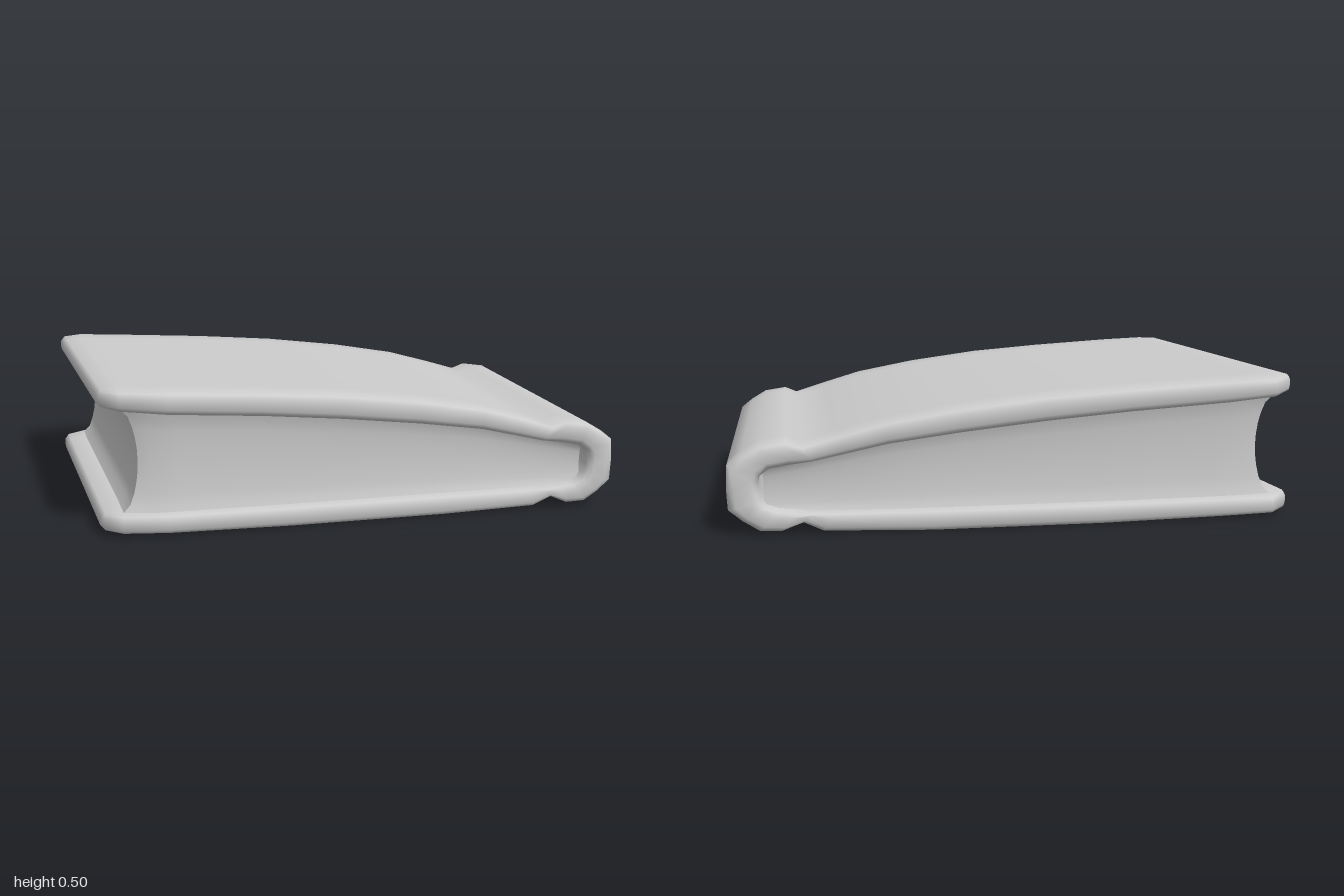
import * as THREE from 'three';
import { toCreasedNormals } from 'three/addons/utils/BufferGeometryUtils.js';

// Piecewise-linear lookup in a list of [x, value] points
function lookup(table, x) {
  if (x <= table[0][0]) return table[0][1];
  for (let i = 1; i < table.length; i++) {
    const [x0, v0] = table[i - 1], [x1, v1] = table[i];
    if (x <= x1) return v0 + (v1 - v0) * (x - x0) / (x1 - x0);
  }
  return table[table.length - 1][1];
}

// Outline of the book seen from above, with rounded fore-edge corners
const frontZ = [[-1, 0.6], [-0.97, 0.65], [-0.88, 0.68], [0, 0.63], [0.62, 0.588], [0.99, 0.58]];
const backZ = [[-1, -0.59], [-0.97, -0.645], [-0.92, -0.68], [-0.4, -0.69], [0.4, -0.685], [0.7, -0.665], [0.99, -0.66]];

// Slant of the fore edge, fading out towards the spine
const slant = (x, z) => x + 0.14 * THREE.MathUtils.clamp((z + 0.6) / 1.2, 0, 1) * (0.99 - x) / 1.99;

// Cover section: [outerX, outerY, innerX, innerY], from top fore edge round the spine to bottom fore edge
const coverSection = [
  [-1, 0.49, -1, 0.455], [-0.985, 0.503, -0.985, 0.442], [-0.92, 0.502, -0.92, 0.432], [-0.75, 0.495, -0.75, 0.416],
  [-0.4, 0.478, -0.4, 0.395], [-0.1, 0.458, -0.1, 0.37], [0.2, 0.424, 0.2, 0.338],
  [0.45, 0.383, 0.45, 0.305], [0.62, 0.338, 0.6, 0.272], [0.74, 0.303, 0.7, 0.25],
  [0.79, 0.323, 0.78, 0.24], [0.88, 0.311, 0.85, 0.228], [0.94, 0.278, 0.88, 0.205],
  [0.988, 0.243, 0.887, 0.18], [0.992, 0.165, 0.885, 0.155], [0.988, 0.09, 0.875, 0.125],
  [0.94, 0.05, 0.86, 0.1], [0.885, 0.015, 0.82, 0.087], [0.81, 0.012, 0.76, 0.08],
  [0.74, 0.04, 0.71, 0.076], [0.67, 0.008, 0.64, 0.075], [0.3, 0, 0.3, 0.075],
  [-0.3, 0, -0.3, 0.075], [-0.75, 0.006, -0.75, 0.076], [-0.92, 0.01, -0.92, 0.078],
  [-0.985, 0.014, -0.985, 0.078], [-1, 0.027, -1, 0.065],
];

function makeGeometry(positions, index, crease) {
  const g = new THREE.BufferGeometry();
  g.setAttribute('position', new THREE.Float32BufferAttribute(positions, 3));
  g.setIndex(index);
  return toCreasedNormals(g, crease);
}

function coverGeometry() {
  const pos = [], idx = [], n = coverSection.length, ring = 2 * n;
  // Rows from back to front; thickness shrinks at the ends for rolled edges
  const rows = [[0, 0.5], [0.006, 0.8], [0.02, 1]];
  for (let k = 1; k < 10; k++) rows.push([k / 10, 1]);
  rows.push([0.98, 1], [0.994, 0.8], [1, 0.5]);
  for (const [t, k] of rows) {
    const put = (x, y, mx, my) => {
      const z = THREE.MathUtils.lerp(lookup(backZ, x), lookup(frontZ, x), t);
      const px = mx + (x - mx) * k, py = my + (y - my) * k;
      pos.push(slant(px, z), py, z);
    };
    const mid = (s) => [(s[0] + s[2]) / 2, (s[1] + s[3]) / 2];
    for (const s of coverSection) put(s[0], s[1], ...mid(s));
    for (let i = n - 1; i >= 0; i--) put(coverSection[i][2], coverSection[i][3], ...mid(coverSection[i]));
  }
  for (let j = 0; j < rows.length - 1; j++) {
    for (let i = 0; i < ring; i++) {
      const a = j * ring + i, b = j * ring + (i + 1) % ring;
      idx.push(a, a + ring, b, b, a + ring, b + ring);
    }
  }
  // Close the head and tail edges
  const last = (rows.length - 1) * ring;
  for (let i = 0; i < n - 1; i++) {
    const o = i, o2 = i + 1, q = ring - 1 - i, q2 = ring - 2 - i;
    idx.push(last + o, last + q, last + o2, last + o2, last + q, last + q2);
    idx.push(o, o2, q, o2, q2, q);
  }
  return makeGeometry(pos, idx, 0.95);
}

function pagesGeometry() {
  const pos = [], idx = [], outline = [];
  const top = [[-1, 0.455], [-0.75, 0.425], [-0.4, 0.405], [-0.1, 0.38], [0.2, 0.348], [0.45, 0.315], [0.7, 0.26], [0.87, 0.225]];
  const steps = 16, x0 = -0.93, x1 = 0.87;
  const along = (i) => x0 + (x1 - x0) * i / steps;
  // Outline: front side, spine side, back side, fore edge
  for (let i = 0; i <= steps; i++) outline.push([along(i), lookup(frontZ, along(i)) - 0.035, 1]);
  for (let i = steps; i >= 0; i--) outline.push([along(i), lookup(backZ, along(i)) + 0.035, -1]);
  for (let i = 1; i < 8; i++) outline.push([x0, -0.635 + 1.27 * i / 8, 0]);
  const n = outline.length, levels = 10;
  for (let j = 0; j <= levels; j++) {
    const v = j / levels, dish = Math.sqrt(Math.sin(Math.PI * Math.min(v, 0.99999)));
    for (const [x, z, side] of outline) {
      const hollow = x === x0 ? 0.065 * dish : 0;
      const pz = z - side * 0.02 * dish;
      pos.push(slant(x, z) + hollow, THREE.MathUtils.lerp(0.065, lookup(top, x), v), pz);
    }
  }
  for (let j = 0; j < levels; j++) {
    for (let i = 0; i < n; i++) {
      const a = j * n + i, b = j * n + (i + 1) % n;
      idx.push(a, b, a + n, b, b + n, a + n);
    }
  }
  return makeGeometry(pos, idx, 0.8);
}

export function createModel() {
  const grey = new THREE.MeshStandardMaterial({ color: 0xcccccc });
  grey.name = 'light grey';
  const book = new THREE.Group();
  book.name = 'book';
  // Boards and spine in one piece, then the page block between them
  const cover = new THREE.Mesh(coverGeometry(), grey);
  cover.name = 'cover';
  const pages = new THREE.Mesh(pagesGeometry(), grey);
  pages.name = 'pageBlock';
  book.add(cover, pages);
  return book;
}
